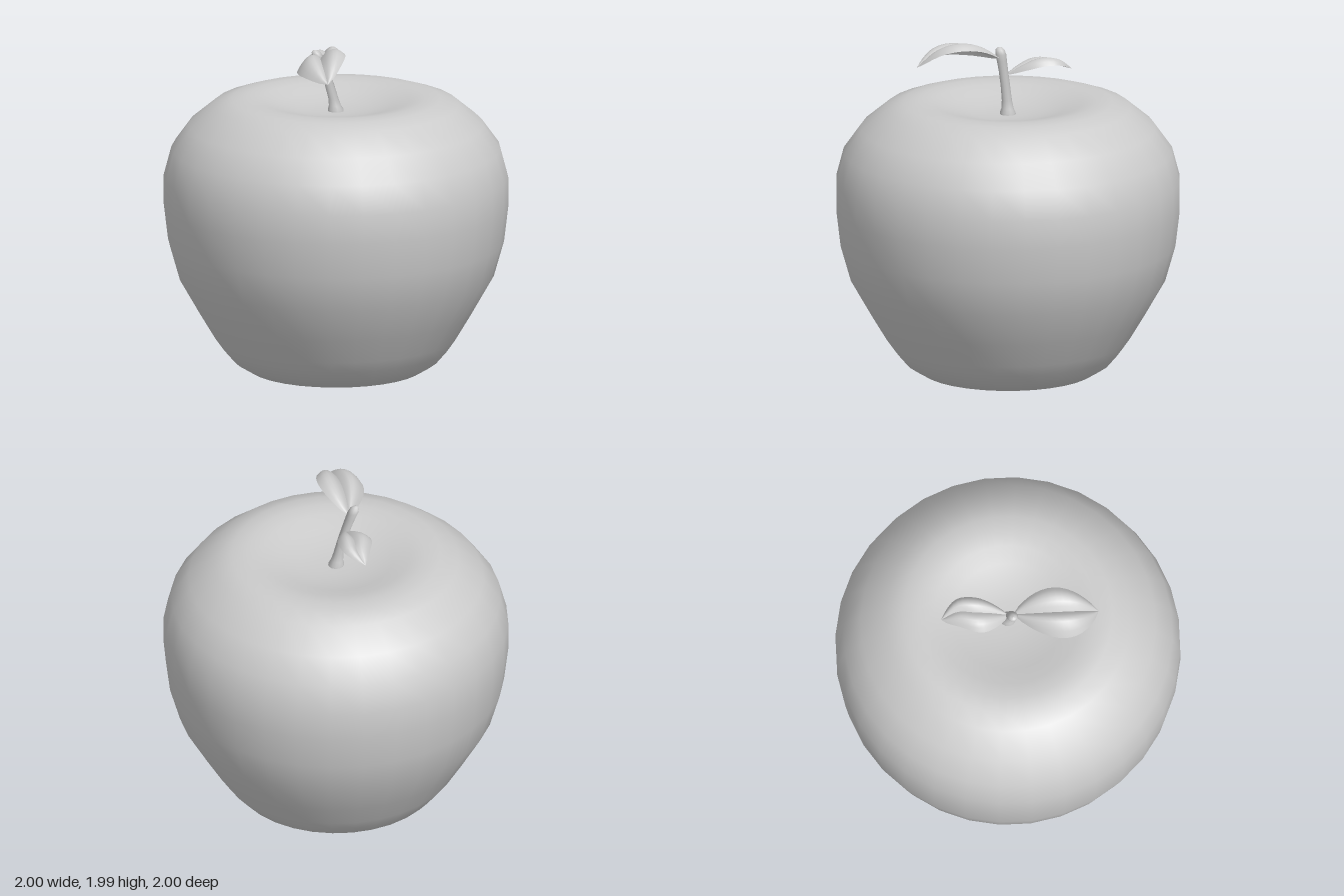
import * as THREE from 'three';

const grey = new THREE.MeshStandardMaterial({ color: 0xcccccc });
const greyThin = new THREE.MeshStandardMaterial({ color: 0xcccccc, side: THREE.DoubleSide });

const lathe = (points, segments, start = 0) =>
  new THREE.LatheGeometry(points.map(([r, y]) => new THREE.Vector2(r, y)), segments, start);

// Leaf: two sheets that meet in a crease at the midrib.
// Each side has a half width and a lift a*u + b*u^2 from rib (u = 0) to edge (u = 1).
function makeLeaf(name, ribPoints, sides) {
  const leaf = new THREE.Group();
  leaf.name = name;
  const rib = new THREE.CatmullRomCurve3(ribPoints.map((p) => new THREE.Vector3(...p)));
  for (const { sign, width, a, b } of sides) {
    const geo = new THREE.PlaneGeometry(1, 1, 6, 14);
    const pos = geo.attributes.position;
    for (let i = 0; i < pos.count; i++) {
      const u = pos.getX(i) + 0.5;
      const v = THREE.MathUtils.clamp(pos.getY(i) + 0.5, 0, 1);
      const spread = Math.pow(Math.max(0, Math.sin(Math.PI * v)), 0.8);
      const p = rib.getPoint(v);
      pos.setXYZ(i, p.x + sign * width * spread * u, p.y + (a * u + b * u * u) * spread, p.z);
    }
    // Turn faces so that they look upwards
    geo.computeVertexNormals();
    if (geo.attributes.normal.getY(Math.floor(pos.count / 2)) < 0) {
      const idx = geo.index;
      for (let i = 0; i < idx.count; i += 3) {
        const first = idx.getX(i);
        idx.setX(i, idx.getX(i + 1));
        idx.setX(i + 1, first);
      }
      geo.computeVertexNormals();
    }
    const half = new THREE.Mesh(geo, greyThin);
    half.name = sign > 0 ? 'leafHalfLeft' : 'leafHalfRight';
    leaf.add(half);
  }
  return leaf;
}

export function createModel() {
  const model = new THREE.Group();
  model.name = 'apple';

  // Fruit body with shallow hollows at the bottom and the top
  const body = new THREE.Mesh(lathe([
    [0, 0.075], [0.1, 0.07], [0.2, 0.05], [0.3, 0.018], [0.41, 0.002],
    [0.51, 0.025], [0.6, 0.08], [0.66, 0.15], [0.71, 0.22], [0.8, 0.37],
    [0.92, 0.58], [0.98, 0.79], [1.005, 1.0], [1.005, 1.17], [0.96, 1.34],
    [0.86, 1.48], [0.715, 1.6], [0.61, 1.635], [0.52, 1.642], [0.43, 1.63],
    [0.33, 1.6], [0.21, 1.572], [0.1, 1.562], [0, 1.56],
  ], 32, Math.PI / 32), grey);
  body.name = 'fruitBody';
  model.add(body);

  // Stem: flared foot, rounded tip, bent towards -x
  const stemGeo = lathe([
    [0.046, 1.54], [0.046, 1.572], [0.036, 1.595], [0.03, 1.64], [0.028, 1.72],
    [0.028, 1.8], [0.03, 1.86], [0.032, 1.895], [0.027, 1.918], [0.015, 1.93], [0, 1.934],
  ], 12);
  const pos = stemGeo.attributes.position;
  for (let i = 0; i < pos.count; i++) {
    const t = pos.getY(i) - 1.56;
    pos.setX(i, pos.getX(i) - 0.17 * t - 0.46 * t * t);
  }
  const stem = new THREE.Mesh(stemGeo, grey);
  stem.name = 'stem';
  model.add(stem);

  // Large leaf to the front, small leaf to the back
  model.add(makeLeaf('largeLeaf', [
    [-0.09, 1.87, 0.01], [-0.13, 1.915, 0.14], [-0.16, 1.93, 0.27],
    [-0.177, 1.91, 0.39], [-0.18, 1.845, 0.5],
  ], [
    { sign: 1, width: 0.145, a: 0.21, b: -0.18 },
    { sign: -1, width: 0.145, a: 0.173, b: -0.233 },
  ]));
  model.add(makeLeaf('smallLeaf', [
    [-0.055, 1.78, -0.01], [-0.035, 1.825, -0.11], [-0.018, 1.85, -0.2],
    [0.012, 1.845, -0.3], [0.005, 1.795, -0.4],
  ], [
    { sign: 1, width: 0.1, a: 0.145, b: -0.15 },
    { sign: -1, width: 0.115, a: 0.094, b: -0.129 },
  ]));

  return model;
}
